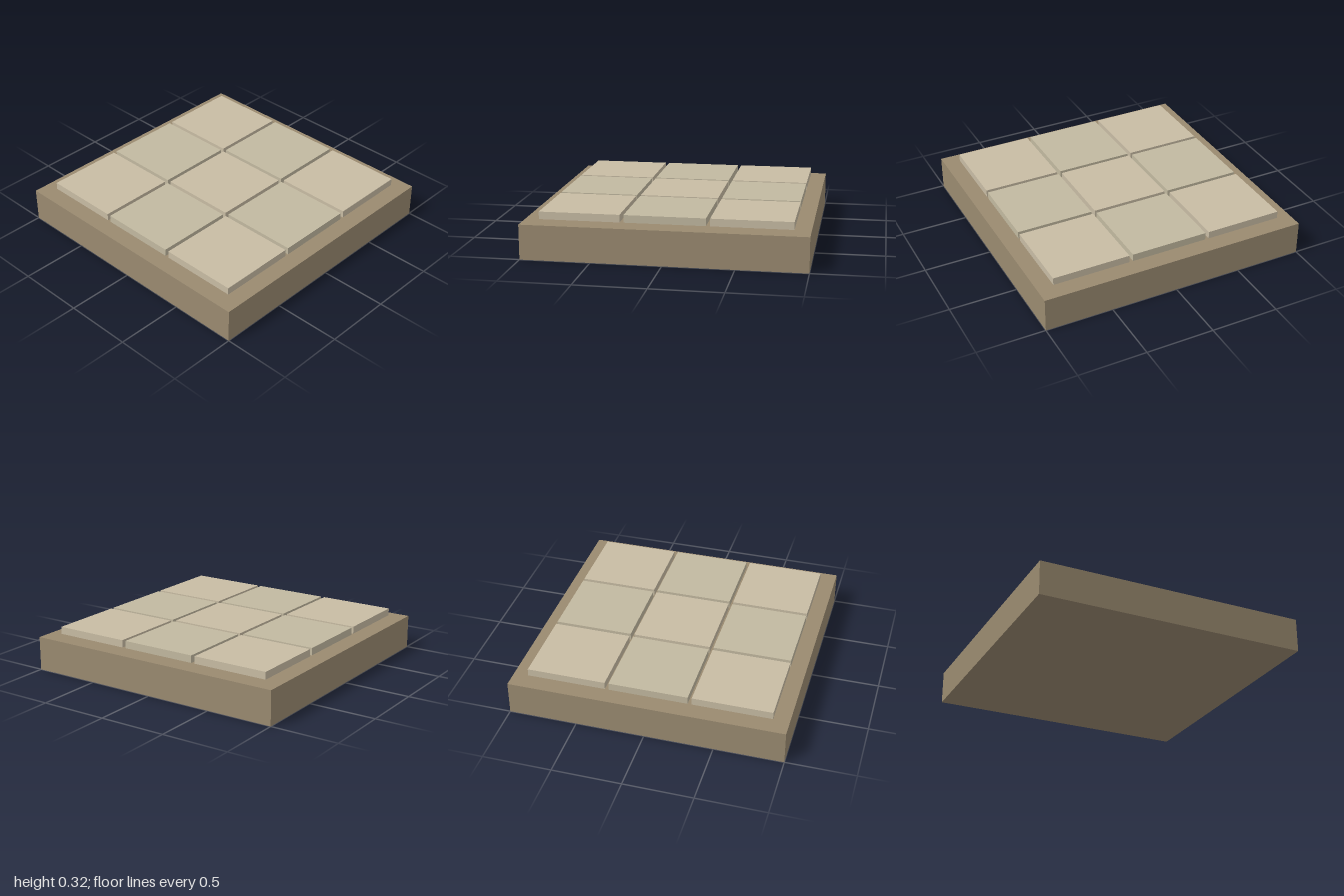
import * as THREE from 'three';

export function createModel() {
  const model = new THREE.Group();
  model.name = 'tiledSlab';

  const box = (name, w, h, d, x, y, z, material) => {
    const mesh = new THREE.Mesh(new THREE.BoxGeometry(w, h, d), material);
    mesh.name = name;
    mesh.position.set(x, y, z);
    return mesh;
  };

  const baseMaterial = new THREE.MeshStandardMaterial({ color: 0x9a8a70 });
  const tileMaterials = [0xc8bca4, 0xc2b9a0].map(
    (color) => new THREE.MeshStandardMaterial({ color })
  );

  // Solid square base
  model.add(box('base', 2, 0.25, 2, 0, 0.125, 0, baseMaterial));

  // Three by three paving tiles in two alternating shades, just above the base
  const tiles = new THREE.Group();
  tiles.name = 'tiles';
  const pitch = 0.6, size = 0.572, bottom = 0.265, thickness = 0.054;
  for (let row = -1; row <= 1; row++) {
    for (let col = -1; col <= 1; col++) {
      const material = tileMaterials[Math.abs(row + col) % 2];
      tiles.add(box('tile', size, thickness, size, col * pitch, bottom + thickness / 2, row * pitch, material));
    }
  }
  model.add(tiles);

  return model;
}
